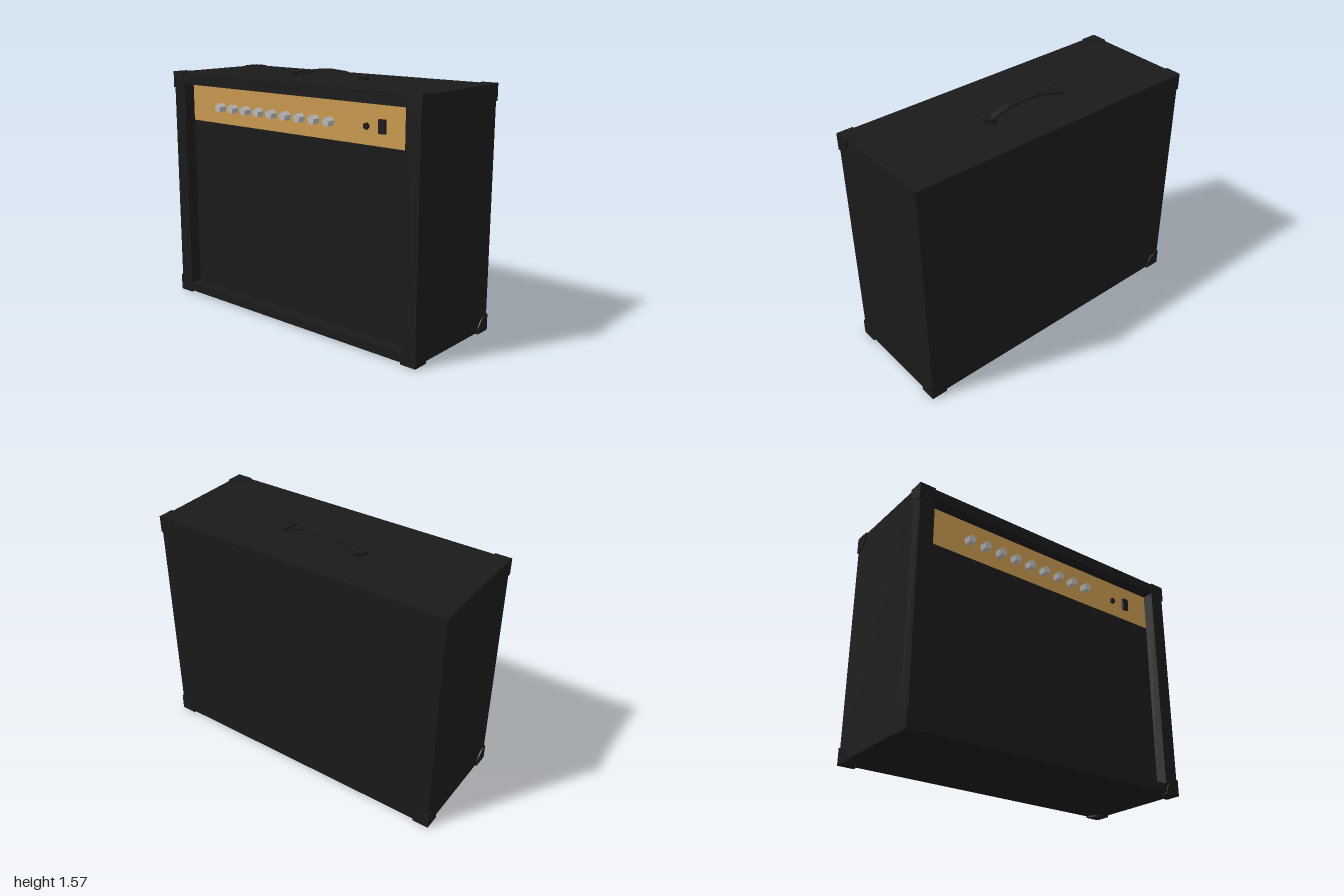
import * as THREE from 'three';

const material = (color) => new THREE.MeshStandardMaterial({ color, flatShading: true });

export function createModel() {
  const model = new THREE.Group();
  const black = material(0x1a1a1a);
  const gold = material(0xc8994f);
  const silver = material(0xb8b8b8);

  const add = (name, geometry, mat, x = 0, y = 0, z = 0, parent = model) => {
    const mesh = new THREE.Mesh(geometry, mat);
    mesh.name = name;
    mesh.position.set(x, y, z);
    parent.add(mesh);
    return mesh;
  };
  const box = (name, mat, w, h, d, x, y, z) =>
    add(name, new THREE.BoxGeometry(w, h, d), mat, x, y, z);

  const rectangle = (Type, x0, y0, x1, y1) => {
    const r = new Type();
    r.moveTo(x0, y0);
    r.lineTo(x1, y0);
    r.lineTo(x1, y1);
    r.lineTo(x0, y1);
    r.closePath();
    return r;
  };

  // Cabinet: closed body behind a front frame with a recessed opening
  const recess = 0.295;
  box('cabinetBody', black, 1.986, 1.505, 0.67, 0, 0.7625, -0.04);
  const frame = rectangle(THREE.Shape, -0.993, 0.01, 0.993, 1.515);
  frame.holes.push(rectangle(THREE.Path, -0.895, 0.065, 0.895, 1.443));
  add('frontFrame', new THREE.ExtrudeGeometry(frame, { depth: 0.08, bevelEnabled: false }),
    black, 0, 0, recess);

  // Speaker cloth and control panel at the back of the recess
  box('grilleCloth', black, 1.79, 1.133, 0.01, 0, 0.6315, recess);
  box('controlPanel', gold, 1.79, 0.245, 0.01, 0, 1.3205, recess);

  // Row of five-sided knobs, indicator and power switch
  const pegGeometry = (radius, length) =>
    new THREE.CylinderGeometry(radius, radius, length, 5).rotateX(Math.PI / 2).rotateZ(Math.PI);
  const knobGeometry = pegGeometry(0.029, 0.05);
  for (let i = 0; i < 9; i++) {
    add('knob' + (i + 1), knobGeometry, silver, -0.607 + i * 0.115, 1.305, recess + 0.03);
  }
  add('indicator', pegGeometry(0.021, 0.015).rotateZ(-Math.PI / 2), black, 0.577, 1.305, recess + 0.011);
  box('powerSwitch', black, 0.045, 0.08, 0.02, 0.691, 1.312, recess + 0.012);

  // Corner guards: three quarter-round plates meeting at each cabinet corner
  const quarter = new THREE.Shape();
  quarter.moveTo(0, 0);
  quarter.lineTo(-0.105, 0);
  quarter.absarc(0, 0, 0.105, Math.PI, Math.PI * 1.5, false);
  quarter.closePath();
  const plate = new THREE.ExtrudeGeometry(quarter, { depth: 0.02, bevelEnabled: false, curveSegments: 6 });
  plate.translate(0, 0, -0.02);
  const axes = [new THREE.Vector3(1, 0, 0), new THREE.Vector3(0, 1, 0), new THREE.Vector3(0, 0, 1)];
  const plates = axes.map((_, i) =>
    plate.clone().applyMatrix4(new THREE.Matrix4().makeBasis(axes[i], axes[(i + 1) % 3], axes[(i + 2) % 3])));
  for (const sx of [-1, 1]) for (const sy of [-1, 1]) for (const sz of [-1, 1]) {
    const guard = new THREE.Group();
    guard.name = 'cornerGuard';
    guard.position.set(sx, sy > 0 ? 1.52 : 0, sz * 0.38);
    guard.scale.set(sx, sy, sz);
    plates.forEach((g) => add('cornerPlate', g, black, 0, 0, 0, guard));
    model.add(guard);
  }

  // Carrying handle: arched strap extruded across its width
  const handle = new THREE.Group();
  handle.name = 'handle';
  handle.position.set(0, 1.515, -0.045);
  model.add(handle);
  const arch = [[-0.26, 0.004], [-0.2, 0.022], [-0.12, 0.042], [0, 0.05],
    [0.12, 0.042], [0.2, 0.022], [0.26, 0.004]];
  const upper = arch.map(([x, y]) => new THREE.Vector2(x, y));
  const lower = arch.map(([x, y]) => new THREE.Vector2(x, y - 0.012)).reverse();
  add('handleStrap', new THREE.ExtrudeGeometry(new THREE.Shape([...lower.reverse(), ...upper.reverse()]),
    { depth: 0.046, bevelEnabled: false }), black, 0, 0, -0.023, handle);

  // Rounded end caps that hold the strap
  const cap = new THREE.Shape();
  cap.moveTo(0, -0.06);
  cap.lineTo(0.03, -0.05);
  cap.lineTo(0.052, -0.025);
  cap.lineTo(0.058, 0);
  cap.lineTo(0.052, 0.025);
  cap.lineTo(0.03, 0.05);
  cap.lineTo(0, 0.06);
  cap.closePath();
  const capGeometry = new THREE.ExtrudeGeometry(cap, { depth: 0.021, bevelEnabled: false });
  capGeometry.rotateX(-Math.PI / 2);
  for (const side of [-1, 1]) {
    add('handleCap', capGeometry, black, side * 0.245, 0, 0, handle).scale.x = side;
  }
  return model;
}
